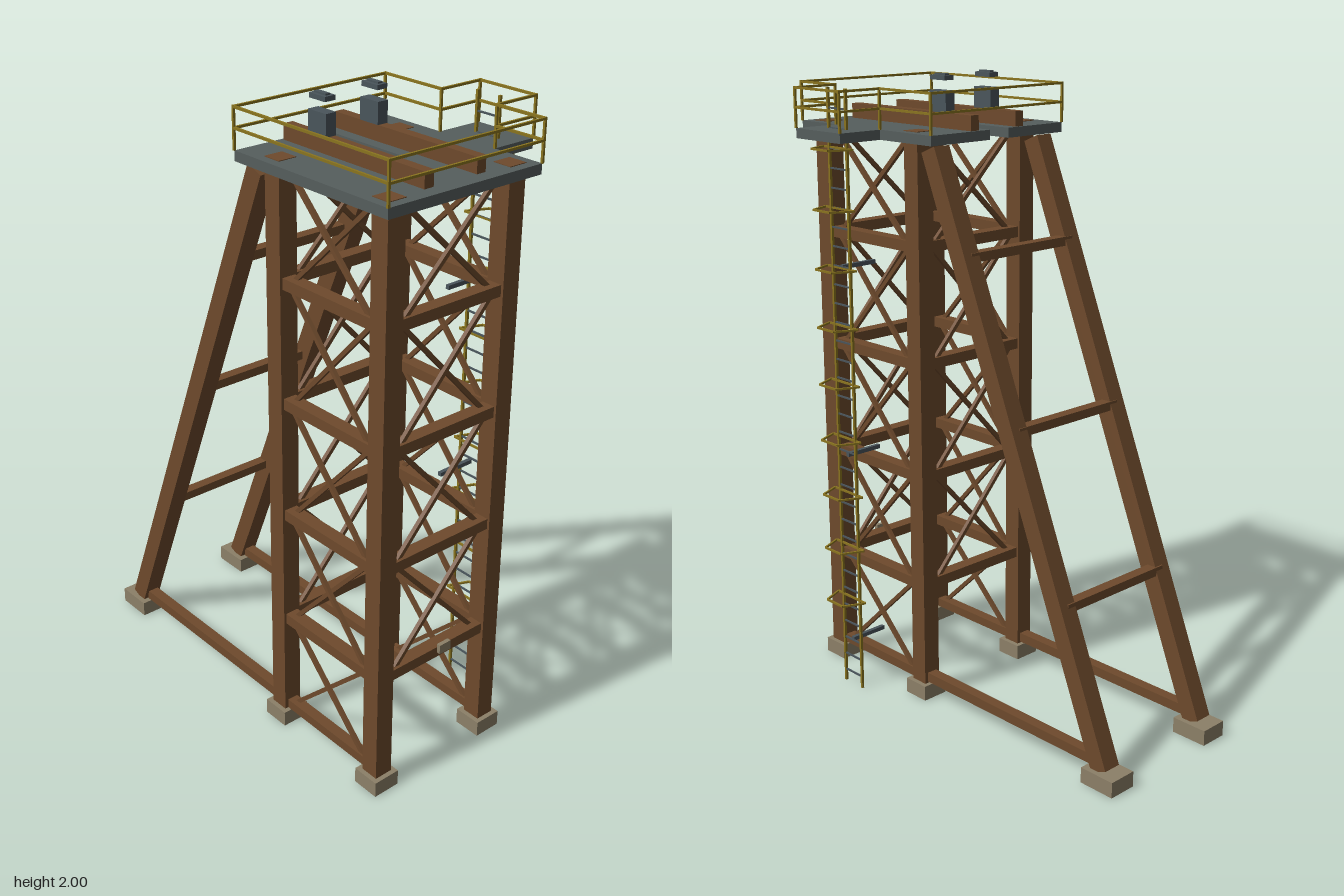
import * as THREE from 'three';

const mat = (name, color) => {
  const m = new THREE.MeshStandardMaterial({ color });
  m.name = name;
  return m;
};

export function createModel() {
  const timber = mat('timber brown', 0x6e4a2c);
  const slate = mat('deck slate', 0x565e5d);
  const iron = mat('iron grey', 0x4a555b);
  const yellow = mat('rail yellow', 0x8a741f);
  const stone = mat('stone footing', 0x8c8068);

  const root = new THREE.Group();
  root.name = 'timberTower';
  const group = (name) => {
    const g = new THREE.Group();
    g.name = name;
    root.add(g);
    return g;
  };
  // box from its minimum and maximum corners
  const box = (parent, name, m, a, b) => {
    const mesh = new THREE.Mesh(new THREE.BoxGeometry(b[0] - a[0], b[1] - a[1], b[2] - a[2]), m);
    mesh.position.set((a[0] + b[0]) / 2, (a[1] + b[1]) / 2, (a[2] + b[2]) / 2);
    mesh.name = name;
    parent.add(mesh);
  };
  // square bar between two points
  const bar = (parent, name, m, p, q, w, d = w) => {
    const a = new THREE.Vector3(...p), b = new THREE.Vector3(...q);
    const mesh = new THREE.Mesh(new THREE.BoxGeometry(w, d, a.distanceTo(b)), m);
    mesh.position.copy(a).add(b).multiplyScalar(0.5);
    mesh.lookAt(b);
    mesh.name = name;
    parent.add(mesh);
  };

  const XS = [-0.292, 0.136], ZS = [0.186, 0.611];
  const CX = -0.078, CZ = 0.3985;
  const levels = [0.39, 0.758, 1.125, 1.493];

  // upright legs on footings
  const legs = group('legs');
  for (const x of XS) for (const z of ZS) {
    box(legs, 'leg', timber, [x - 0.03, 0.05, z - 0.03], [x + 0.03, 1.842, z + 0.03]);
    box(legs, 'footing', stone, [x - 0.045, 0, z - 0.045], [x + 0.045, 0.05, z + 0.045]);
  }

  // horizontal girts and cross braces on all four faces
  const frame = group('bracedFrame');
  for (const y of levels) {
    for (const z of ZS)
      box(frame, 'girt', timber, [XS[0], y - 0.017, z - 0.022], [XS[1], y + 0.017, z + 0.022]);
    for (const x of XS)
      box(frame, 'girt', timber, [x - 0.022, y - 0.017, ZS[0]], [x + 0.022, y + 0.017, ZS[1]]);
  }
  for (const x of XS)
    box(frame, 'sill', timber, [x - 0.018, 0.05, ZS[0]], [x + 0.018, 0.08, ZS[1]]);
  const nodes = [0.065, ...levels, 1.82];
  const H = 0.17;
  for (let i = 0; i < nodes.length - 1; i++) {
    const y0 = nodes[i], y1 = nodes[i + 1];
    for (const s of [-1, 1]) {
      const o = s * 0.006;
      for (const x of XS)
        bar(frame, 'brace', timber, [x + o, y0, CZ - s * H], [x + o, y1, CZ + s * H], 0.013);
      if (i > 0) for (const z of ZS)
        bar(frame, 'brace', timber, [CX - s * H, y0, z + o], [CX + s * H, y1, z + o], 0.013);
    }
  }
  box(frame, 'hangerBlock', timber, [-0.123, 1.767, 0.37], [-0.037, 1.81, 0.427]);
  box(frame, 'plaque', stone, [-0.08, 0.388, 0.632], [-0.036, 0.418, 0.645]);

  // sloping rear legs with their footings, sills and ties
  const back = group('rearStruts');
  for (const x of XS) {
    bar(back, 'strut', timber, [x, 0.05, -0.606], [x, 1.794, 0.11], 0.06);
    box(back, 'footing', stone, [x - 0.047, 0, -0.675], [x + 0.047, 0.05, -0.553]);
    box(back, 'groundSill', timber, [x - 0.018, 0.054, -0.565], [x + 0.018, 0.086, 0.18]);
  }
  for (const [y, z] of [[0.507, -0.432], [1.0, -0.228], [1.49, -0.027]])
    box(back, 'tie', timber, [XS[0], y - 0.014, z - 0.018], [XS[1], y + 0.014, z + 0.018]);

  // deck with an open slot at the back and a side landing
  const outline = [[-0.35, 0.67], [0.195, 0.67], [0.195, 0.5], [0.347, 0.5],
    [0.347, 0.29], [0.195, 0.29], [0.195, 0.062], [-0.35, 0.062]];
  const slot = [[-0.04, 0.062], [-0.04, 0.41], [-0.117, 0.41], [-0.117, 0.062]];
  const pts = [...outline.slice(0, 7), ...slot, outline[7]];
  const shape = new THREE.Shape(pts.map(([x, z]) => new THREE.Vector2(x, -z)));
  const deck = new THREE.Mesh(
    new THREE.ExtrudeGeometry(shape, { depth: 0.03, bevelEnabled: false }), slate);
  deck.rotation.x = -Math.PI / 2;
  deck.position.y = 1.81;
  deck.name = 'deck';
  root.add(deck);

  // guard rail round the deck
  const rail = group('guardRail');
  outline.forEach(([x, z], i) => {
    const [x2, z2] = outline[(i + 1) % outline.length];
    bar(rail, 'post', yellow, [x, 1.84, z], [x, 1.964, z], 0.007);
    for (const y of [1.902, 1.96])
      bar(rail, 'rail', yellow, [x, y, z], [x2, y, z2], 0.007);
  });

  // bearing beams with pedestals and caps
  const bearings = group('bearings');
  for (const x of [-0.171, 0.014]) {
    box(bearings, 'beam', timber, [x - 0.016, 1.84, 0.07], [x + 0.016, 1.886, 0.625]);
    box(bearings, 'pedestal', iron, [x - 0.018, 1.886, 0.177], [x + 0.018, 1.95, 0.25]);
    box(bearings, 'cap', iron, [x - 0.018, 1.981, 0.181], [x + 0.018, 1.995, 0.246]);
    box(bearings, 'capStrip', iron, [x - 0.008, 1.995, 0.19], [x + 0.008, 2.0, 0.237]);
  }

  // ladder with hoops and stand-off bars
  const ladder = group('ladder');
  const LX = 0.27, LZ = 0.398;
  for (const s of [-1, 1])
    bar(ladder, 'stile', yellow, [LX, 0, LZ + s * 0.042], [LX, 1.96, LZ + s * 0.042], 0.008);
  for (let y = 0.04; y < 1.95; y += 0.06)
    bar(ladder, 'rung', iron, [LX, y, LZ - 0.042], [LX, y, LZ + 0.042], 0.005);
  for (let i = 0; i < 9; i++) {
    const y = 0.315 + i * 0.1835;
    const hoop = [[LX, -0.07], [0.34, -0.04], [0.34, 0.04], [LX, 0.07], [LX, -0.07]];
    for (let k = 0; k < 4; k++)
      bar(ladder, 'hoop', yellow, [hoop[k][0], y, LZ + hoop[k][1]],
        [hoop[k + 1][0], y, LZ + hoop[k + 1][1]], 0.006);
  }
  for (const y of [0.165, 0.81, 1.42])
    bar(ladder, 'standOff', iron, [0.14, y, LZ], [LX, y, LZ], 0.013);

  return root;
}
